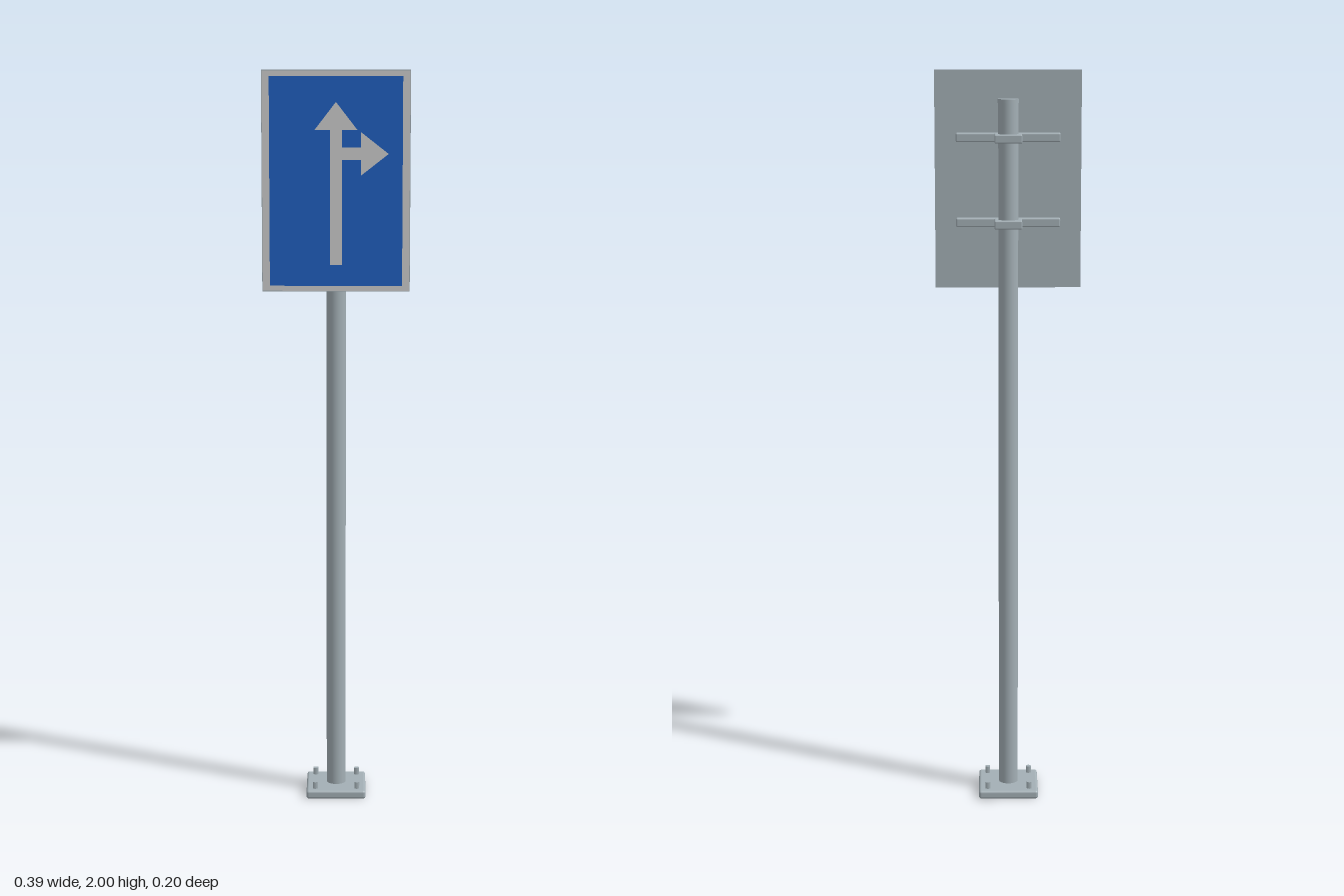
import * as THREE from 'three';
import { RoundedBoxGeometry } from 'three/addons/geometries/RoundedBoxGeometry.js';

const POST_Z = -0.016;

export function createModel() {
  const root = new THREE.Group();
  root.name = 'roadSign';

  const metal = new THREE.MeshStandardMaterial({ color: 0xa3afb5 });
  const white = new THREE.MeshStandardMaterial({ color: 0xcccccc });
  const whiteSheet = new THREE.MeshStandardMaterial({ color: 0xcccccc, side: THREE.DoubleSide });
  const blue = new THREE.MeshStandardMaterial({ color: 0x1f5fbf });

  const add = (name, geometry, material, x, y, z) => {
    const mesh = new THREE.Mesh(geometry, material);
    mesh.name = name;
    mesh.position.set(x, y, z);
    root.add(mesh);
    return mesh;
  };

  // Base plate with four hexagonal anchor bolts
  add('basePlate', new RoundedBoxGeometry(0.165, 0.024, 0.165, 3, 0.007), metal, 0, 0.012, POST_Z);
  for (const sx of [-1, 1]) {
    for (const sz of [-1, 1]) {
      add('anchorBolt', new THREE.CylinderGeometry(0.008, 0.008, 0.022, 6), metal,
        sx * 0.058, 0.032, POST_Z + sz * 0.058);
    }
  }

  // Post and its cap
  add('post', new THREE.CylinderGeometry(0.0265, 0.0265, 1.9, 32), metal, 0, 0.97, POST_Z);
  add('postCap', new THREE.CylinderGeometry(0.028, 0.028, 0.01, 32), metal, 0, 1.922, POST_Z);

  // Clamps round the post, each carrying a horizontal rail
  for (const y of [1.6, 1.825]) {
    add('clamp', new RoundedBoxGeometry(0.073, 0.022, 0.084, 2, 0.003), metal, 0, y, POST_Z);
    add('mountingRail', new RoundedBoxGeometry(0.278, 0.024, 0.025, 2, 0.004), metal, 0, y, 0.0165);
  }

  // Layered sign panel
  const midY = 1.71;
  add('backPanel', new THREE.BoxGeometry(0.392, 0.58, 0.018), metal, 0, midY, 0.059);
  add('borderPanel', new THREE.BoxGeometry(0.388, 0.574, 0.007), white, 0, midY, 0.0765);
  add('bluePanel', new THREE.BoxGeometry(0.35, 0.546, 0.004), blue, 0, midY, 0.085);

  // Arrow symbol: flat shafts with triangular heads just in front
  add('upShaft', new THREE.PlaneGeometry(0.032, 0.36), whiteSheet, 0, 1.672, 0.093);
  add('sideShaft', new THREE.PlaneGeometry(0.09, 0.032), whiteSheet, 0.03, 1.783, 0.0945);
  const arrowHead = (name, x, y, turn) => {
    const shape = new THREE.Shape([
      new THREE.Vector2(-0.056, 0),
      new THREE.Vector2(0.056, 0),
      new THREE.Vector2(0, 0.072),
    ]);
    add(name, new THREE.ShapeGeometry(shape), whiteSheet, x, y, 0.0965).rotation.z = turn;
  };
  arrowHead('upArrowHead', 0, 1.845, 0);
  arrowHead('sideArrowHead', 0.066, 1.783, -Math.PI / 2);

  return root;
}
